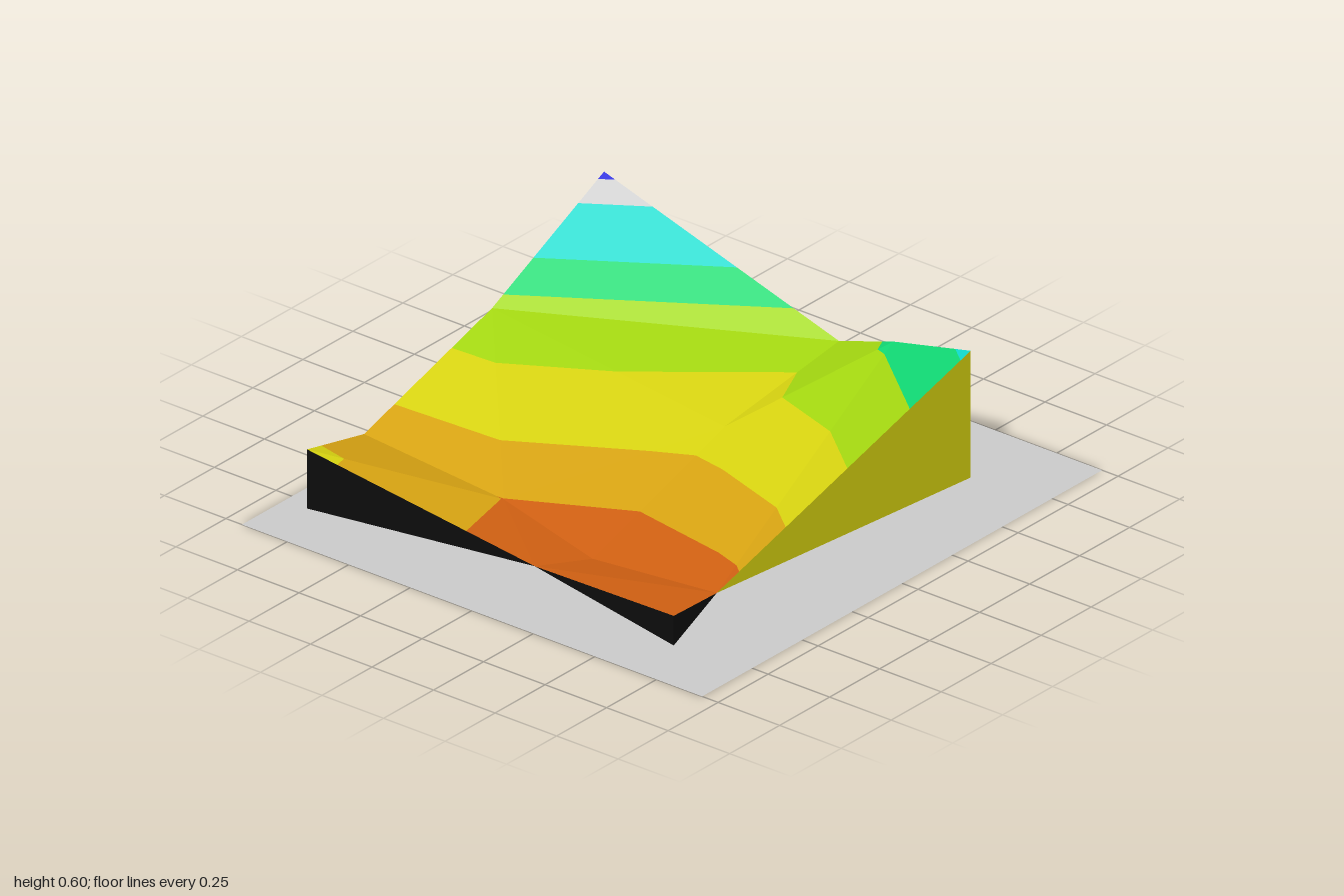
import * as THREE from 'three';

const mat = (name, color) => new THREE.MeshStandardMaterial({ name, color, side: THREE.DoubleSide });

// Corner points of the folded sheet
const P = {
  backLeft: [-0.785, 0.21, -0.845], backFold: [-0.5, 0.15, -0.845],
  backRidge: [0.14, 0.34, -0.845], backRight: [0.7, 0.6, -0.845],
  rightFold: [0.7, 0.31, 0.11], rightBend: [0.7, 0.38, 0.33], frontRight: [0.7, 0.45, 0.645],
  frontFold: [-0.57, 0.1, 0.645], frontLeft: [-0.785, 0.105, 0.645], leftFold: [-0.785, 0.097, 0.08],
  bend: [-0.54, 0.13, -0.245], low: [-0.6, 0.077, 0.165], mid: [0.14, 0.228, 0.1],
};
const pts = (names) => names.split(' ').map((n) => P[n]);

// Flat-shaded mesh from convex polygons, each cut into a fan
function facets(name, polygons, material) {
  const pos = [];
  for (const p of polygons)
    for (let i = 1; i < p.length - 1; i++) pos.push(...p[0], ...p[i], ...p[i + 1]);
  const g = new THREE.BufferGeometry();
  g.setAttribute('position', new THREE.Float32BufferAttribute(pos, 3));
  g.computeVertexNormals();
  const mesh = new THREE.Mesh(g, material);
  mesh.name = name;
  return mesh;
}

// Keep the part of a polygon above (side 1) or below (side -1) a height
function clip(poly, h, side) {
  const out = [];
  poly.forEach((a, i) => {
    const b = poly[(i + 1) % poly.length];
    const da = (a[1] - h) * side, db = (b[1] - h) * side;
    if (da >= 0) out.push(a);
    if (da * db < 0) out.push(a.map((v, k) => v + (b[k] - v) * da / (da - db)));
  });
  return out;
}

// Turn a polygon to face upwards
function faceUp(p) {
  const [a, b, c] = p.map((v) => new THREE.Vector3(...v));
  return b.sub(a).cross(c.sub(a)).y < 0 ? p.slice().reverse() : p;
}

export function createModel() {
  const group = new THREE.Group();
  const m = {
    orange: mat('orange', 0xd06012), ochre: mat('ochre', 0xd8a412),
    yellow: mat('yellow', 0xd8d410), lime: mat('lime', 0xa4d810),
    green: mat('green', 0x10d874), cyan: mat('cyan', 0x10d8cc),
    grey: mat('grey', 0xcccccc), blue: mat('blue', 0x0d0dd8),
    red: mat('red', 0xd20f20), black: mat('black', 0x0c0c0c),
  };

  // Ground sheet
  const base = new THREE.Mesh(new THREE.PlaneGeometry(2, 1.87).rotateX(-Math.PI / 2), m.grey);
  base.name = 'groundSheet';
  group.add(base);

  // Folded top, coloured in height bands
  const top = [
    'backLeft backFold bend', 'backLeft bend leftFold', 'leftFold bend low',
    'leftFold low frontFold', 'leftFold frontFold frontLeft',
    'backFold backRidge bend', 'bend backRidge mid', 'bend mid low',
    'backRidge backRight rightFold', 'backRidge rightFold mid',
    'frontFold low mid', 'frontFold mid rightBend', 'mid rightFold rightBend',
    'frontFold rightBend frontRight',
  ].map((s) => faceUp(pts(s)));
  const bands = [['orange', 0], ['ochre', 0.131], ['yellow', 0.195], ['lime', 0.28],
    ['green', 0.366], ['cyan', 0.436], ['grey', 0.54], ['blue', 0.586]];
  bands.forEach(([color, lo], i) => {
    const hi = i + 1 < bands.length ? bands[i + 1][1] : 1;
    const polys = top.map((t) => clip(clip(t, lo, 1), hi, -1)).filter((p) => p.length > 2);
    group.add(facets(color + 'HeightBand', polys, m[color]));
  });

  // Tapered supports: each cell outline (clockwise from above) runs down to one foot
  const cells = [
    ['blueSupport', 'blue', [0.7, 0, -0.845], 'backRidge backRight rightFold mid'],
    ['yellowSupport', 'yellow', [0.7, 0, 0.645], 'mid rightFold rightBend frontRight frontFold low'],
    ['redSupport', 'red', [0.338, 0, -0.845], 'backFold backRidge mid low bend'],
    ['backBlackSupport', 'black', [-0.785, 0, -0.845], 'backLeft backFold bend low leftFold'],
    ['frontBlackSupport', 'black', [-0.785, 0, 0.645], 'leftFold low frontFold frontLeft'],
  ];
  for (const [name, color, foot, outline] of cells) {
    const loop = pts(outline);
    const sides = loop.map((a, i) => [foot, a, loop[(i + 1) % loop.length]]);
    group.add(facets(name, sides, m[color]));
  }
  return group;
}
